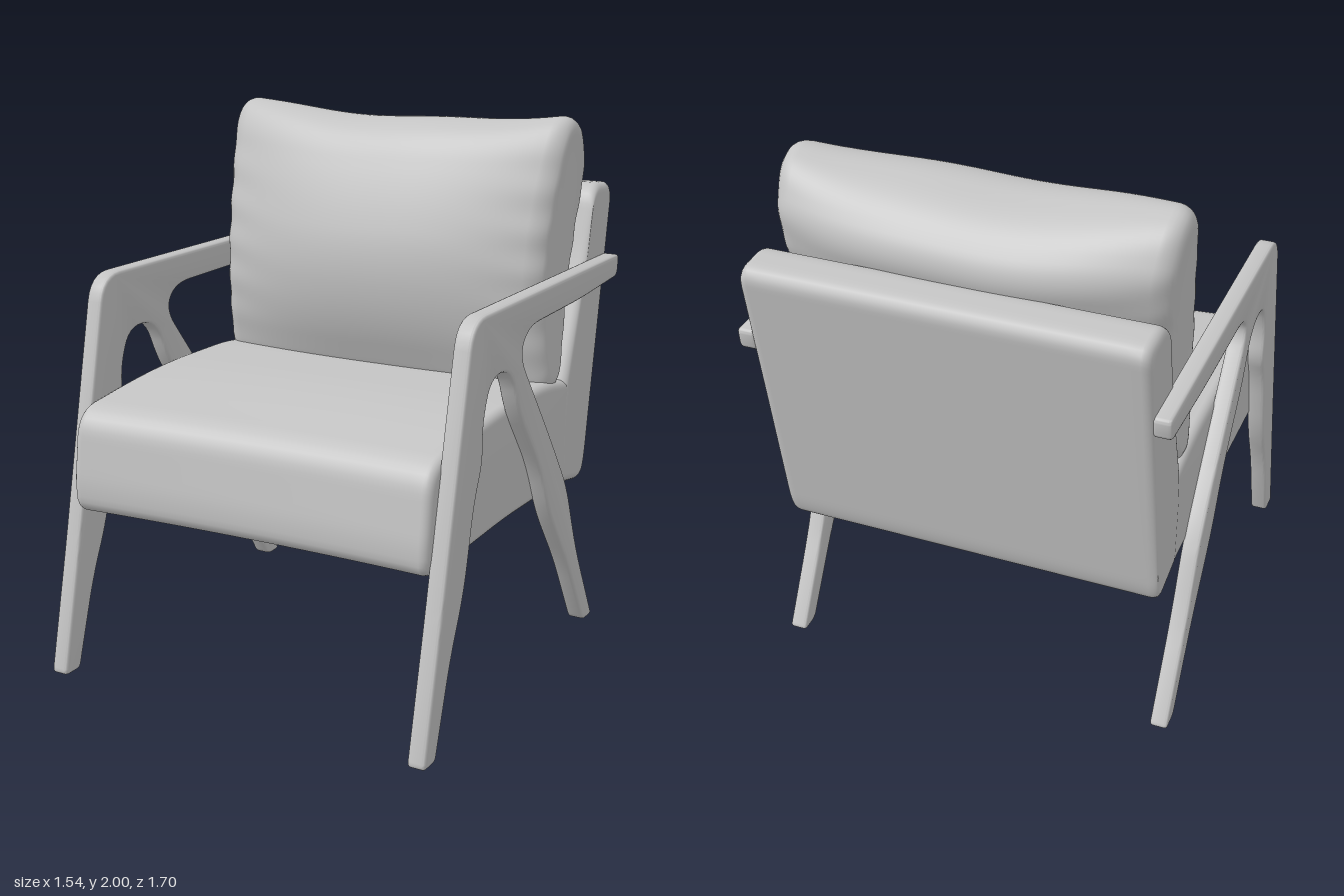
import * as THREE from 'three';
import { toCreasedNormals } from 'three/addons/utils/BufferGeometryUtils.js';

// Closed outline in the (z, y) plane; each point is [z, y, corner radius].
function roundedOutline(points) {
  const shape = new THREE.Shape();
  const n = points.length;
  points.forEach(([z, y, r], i) => {
    const p = new THREE.Vector2(z, y);
    const toward = (q) => {
      const d = new THREE.Vector2(q[0], q[1]).sub(p);
      return p.clone().add(d.setLength(Math.min(r, d.length() * 0.49)));
    };
    const a = toward(points[(i + n - 1) % n]);
    const b = toward(points[(i + 1) % n]);
    if (i === 0) shape.moveTo(a.x, a.y);
    else shape.lineTo(a.x, a.y);
    shape.quadraticCurveTo(z, y, b.x, b.y);
  });
  shape.closePath();
  return shape;
}

// Sweeps a counter-clockwise outline across x, rounds both ends, then applies a soft deformation.
function upholstery(outline, halfWidth, radius, deform) {
  const ring = outline.getSpacedPoints(140).slice(0, -1);
  const n = ring.length;
  const box = new THREE.Box2().setFromPoints(ring);
  const mid = box.getCenter(new THREE.Vector2());
  const half = box.getSize(new THREE.Vector2()).multiplyScalar(0.5);

  const stations = [];
  const steps = 6, spans = 28, inner = halfWidth - radius;
  const endRing = (side, k) => {
    const a = (k / steps) * Math.PI / 2;
    stations.push([side * (inner + radius * Math.sin(a)), radius * (1 - Math.cos(a))]);
  };
  for (let k = steps; k > 0; k--) endRing(-1, k);
  for (let k = 0; k <= spans; k++) stations.push([inner * (2 * k / spans - 1), 0]);
  for (let k = 1; k <= steps; k++) endRing(1, k);

  const positions = [], index = [];
  const add = (x, y, z) => positions.push(...deform(x, y, z));
  for (const [x, inset] of stations) {
    for (const p of ring) {
      add(x, mid.y + (p.y - mid.y) * (1 - inset / half.y), mid.x + (p.x - mid.x) * (1 - inset / half.x));
    }
  }
  const last = stations.length - 1;
  for (let i = 0; i < last; i++) {
    for (let j = 0; j < n; j++) {
      const a = i * n + j, b = i * n + (j + 1) % n;
      index.push(a, a + n, b, b, a + n, b + n);
    }
  }
  // End caps
  const c0 = (last + 1) * n, c1 = c0 + 1;
  add(-halfWidth, mid.y, mid.x);
  add(halfWidth, mid.y, mid.x);
  for (let j = 0; j < n; j++) {
    const k = (j + 1) % n;
    index.push(c0, j, k, c1, last * n + k, last * n + j);
  }
  const geometry = new THREE.BufferGeometry();
  geometry.setAttribute('position', new THREE.Float32BufferAttribute(positions, 3));
  geometry.setIndex(index);
  geometry.computeVertexNormals();
  return geometry;
}

export function createModel() {
  const model = new THREE.Group();
  model.name = 'armchair';
  const grey = new THREE.MeshStandardMaterial({ color: 0xc4c4c4 });
  grey.name = 'light grey';

  const add = (name, geometry, x = 0) => {
    const mesh = new THREE.Mesh(geometry, grey);
    mesh.name = name;
    mesh.position.x = x;
    model.add(mesh);
  };

  // Side frames: front leg, armrest and slanted rear leg in one piece
  const frameOutline = roundedOutline([
    [0.765, 0, 0.02], [0.855, 0, 0.025], [0.74, 0.5, 0.1], [0.535, 1.45, 0.1],
    [-0.79, 1.445, 0.02], [-0.78, 1.36, 0.03], [-0.4, 1.34, 0.1],
    [0.08, 1.335, 0.1], [0.15, 1.25, 0.09], [-0.14, 0.89, 0.1],
    [-0.33, 0.64, 0.1], [-0.45, 0.35, 0.12], [-0.65, 0, 0.025], [-0.56, 0, 0.03],
    [-0.37, 0.31, 0.1], [-0.17, 0.57, 0.1], [-0.06, 0.79, 0.1], [0.14, 1.04, 0.08],
    [0.22, 1.22, 0.11], [0.39, 1.225, 0.11], [0.445, 1.08, 0.06],
    [0.44, 0.95, 0.05], [0.5, 0.82, 0.08], [0.565, 0.53, 0.1], [0.66, 0.33, 0.1],
  ]);
  const bevel = 0.012, thickness = 0.066;
  let frame = new THREE.ExtrudeGeometry(frameOutline, {
    depth: thickness - 2 * bevel, curveSegments: 6,
    bevelEnabled: true, bevelSize: bevel, bevelThickness: bevel, bevelOffset: -bevel, bevelSegments: 3,
  });
  frame.translate(0, 0, bevel - thickness / 2);
  frame.rotateY(-Math.PI / 2);
  frame = toCreasedNormals(frame, 0.7);
  add('leftSideFrame', frame, 0.737);
  add('rightSideFrame', frame, -0.737);

  // Seat cushion with a slightly hollow front edge
  const seatOutline = roundedOutline([
    [-0.5, 0.6, 0.02], [0.1, 0.62, 0.1], [0.715, 0.615, 0.07], [0.725, 0.72, 0.05], [0.69, 1.0, 0.1],
    [0.24, 1.05, 0.2], [-0.25, 1.045, 0.1], [-0.5, 1.0, 0.03],
  ]);
  add('seatCushion', upholstery(seatOutline, 0.71, 0.035, (x, y, z) => {
    const front = THREE.MathUtils.smoothstep(z, 0, 0.7);
    return [x, y - 0.012 * front * (1 - x * x), z + front * (0.07 * x * x - 0.02 * x - 0.012)];
  }));

  // Reclined back panel
  const backOutline = roundedOutline([
    [-0.42, 0.605, 0.02], [-0.62, 0.565, 0.05], [-0.648, 0.63, 0.04], [-0.855, 1.715, 0.06],
    [-0.655, 1.73, 0.08], [-0.59, 1.45, 0.1], [-0.41, 0.93, 0.1],
  ].reverse());
  add('backPanel', upholstery(backOutline, 0.712, 0.035, (x, y, z) => [x, y, z]));

  // Loose back pillow: full in the middle, thinner and creased towards the sides
  const pillowOutline = roundedOutline([
    [-0.44, 0.985, 0.08], [-0.24, 0.975, 0.08], [-0.12, 1.24, 0.12], [-0.09, 1.48, 0.12],
    [-0.15, 1.72, 0.12], [-0.26, 1.97, 0.12], [-0.4, 2.02, 0.08], [-0.6, 1.97, 0.1],
    [-0.72, 1.81, 0.08], [-0.6, 1.46, 0.15],
  ]);
  add('backPillow', upholstery(pillowOutline, 0.715, 0.07, (x, y, z) => {
    const edge = Math.min(1, Math.abs(x) / 0.71);
    const h = THREE.MathUtils.clamp(y - 1, 0, 1);
    const spine = -0.35 - 0.15 * h;
    const crease = 0.005 * Math.sin(y * 42 + x * 5) * edge ** 6 * Math.sin(Math.PI * h);
    return [
      x * (1 - 0.035 * Math.sin(Math.PI * h) - 0.02 * (1 - h)),
      y - 0.04 * h * h * (1 - edge * edge) + 0.005 * h * Math.sin(x * 9),
      spine + (z - spine) * (1 - 0.42 * edge ** 2.4) + crease,
    ];
  }));

  return model;
}
